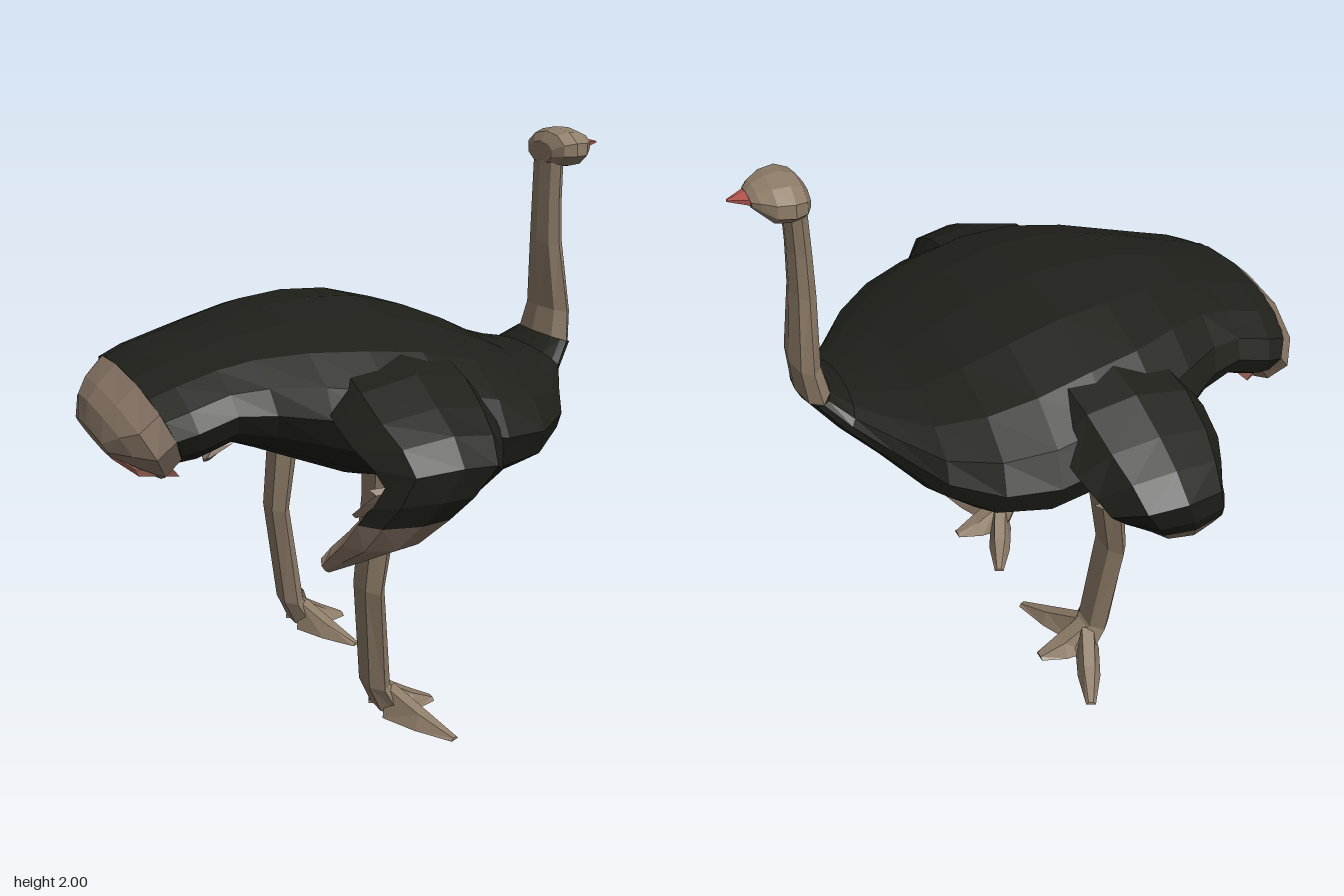
import * as THREE from 'three';

const BLACK = 0x20201b, TAN = 0x8f7d69, PALE = 0x8a7767, PINK = 0xa86a5c, RED = 0xb0544c;

function material(color) {
  return new THREE.MeshStandardMaterial({ color, flatShading: true, side: THREE.DoubleSide });
}

// Skin a list of equal rings of [x, y, z] points, close both ends, face outwards
function loft(name, rings, color) {
  const tris = [];
  const n = rings[0].length;
  const middle = (r) => [0, 1, 2].map((k) => r.reduce((s, p) => s + p[k], 0) / n);
  const first = middle(rings[0]);
  const last = middle(rings[rings.length - 1]);
  for (let j = 0; j < n; j++) {
    const k = (j + 1) % n;
    for (let i = 0; i < rings.length - 1; i++) {
      const a = rings[i], b = rings[i + 1];
      tris.push([a[j], b[j], b[k]], [a[j], b[k], a[k]]);
    }
    const end = rings[rings.length - 1];
    tris.push([first, rings[0][j], rings[0][k]], [last, end[k], end[j]]);
  }
  let volume = 0;
  for (const t of tris) {
    const [a, b, c] = t.map((p) => new THREE.Vector3(p[0] - first[0], p[1] - first[1], p[2] - first[2]));
    volume += a.dot(b.cross(c));
  }
  if (volume < 0) tris.forEach((t) => t.reverse());
  const geometry = new THREE.BufferGeometry();
  geometry.setAttribute('position', new THREE.Float32BufferAttribute(tris.flat(2), 3));
  geometry.computeVertexNormals();
  const mesh = new THREE.Mesh(geometry, material(color));
  mesh.name = name;
  return mesh;
}

// Oval ring between an upper and a lower point of the side profile
function oval([xt, yt, xb, yb, w], n, z = 0) {
  const ring = [];
  for (let i = 0; i < n; i++) {
    const a = (i / n) * Math.PI * 2;
    const f = (1 - Math.cos(a)) / 2;
    ring.push([xt + (xb - xt) * f, yt + (yb - yt) * f, z + w * Math.sin(a)]);
  }
  return ring;
}

const ovals = (profile, n, z) => profile.map((p) => oval(p, n, z));

// Wing: sections run outwards from the back and then hang down
// outer z, y; inner z, y; rear x, front x
const WING = [
  [0.45, 1.36, 0.45, 1.10, -0.34, 0.20],
  [0.66, 1.31, 0.62, 1.04, -0.36, 0.19],
  [0.81, 1.24, 0.70, 1.01, -0.35, 0.17],
  [0.92, 1.18, 0.74, 0.98, -0.32, 0.14],
  [1.00, 1.10, 0.75, 0.96, -0.30, 0.11],
  [0.97, 0.99, 0.73, 0.93, -0.33, 0.04],
  [0.91, 0.90, 0.70, 0.89, -0.36, -0.02],
];
const WING_TIP = [
  [0.91, 0.90, 0.70, 0.89, -0.36, -0.02],
  [0.83, 0.80, 0.62, 0.80, -0.375, -0.10],
  [0.72, 0.73, 0.58, 0.74, -0.385, -0.24],
  [0.62, 0.67, 0.57, 0.70, -0.39, -0.36],
];

function wingRing([zo, yo, zi, yi, back, front], side) {
  const mz = (zo + zi) / 2, my = (yo + yi) / 2, d = front - back;
  const at = (t, z, y) => [back + d * t, y, z * side];
  // the outer face narrows towards its leading and trailing edges
  return [
    at(0, mz, my),
    at(0.15, zo * 0.7 + mz * 0.3, yo * 0.7 + my * 0.3),
    at(0.5, zo, yo),
    at(0.82, zo * 0.8 + mz * 0.2, yo * 0.8 + my * 0.2),
    at(1, mz, my),
    at(0.75, zi, yi),
    at(0.25, zi, yi),
  ];
}

function createWing(side, name) {
  const wing = new THREE.Group();
  wing.name = name;
  wing.add(loft('wingFeathers', WING.map((s) => wingRing(s, side)), BLACK));
  wing.add(loft('wingTip', WING_TIP.map((s) => wingRing(s, side)), PALE));
  // pale lining under the wing
  const lining = WING.slice(3).map(([, , zi, yi, b, f]) =>
    [[b + 0.03, yi, zi], [f - 0.04, yi, zi], [f - 0.06, yi - 0.02, zi - 0.015], [b + 0.05, yi - 0.02, zi - 0.015]]
      .map(([x, y, z]) => [x, y, z * side]));
  wing.add(loft('wingLining', lining, PALE));
  return wing;
}

// Leg: rings of centre x, y, z, half depth, half width
function createLeg(side, name) {
  const leg = new THREE.Group();
  leg.name = name;
  const shank = [
    [-0.10, 0.98, 0.44, 0.05, 0.115],
    [-0.105, 0.83, 0.44, 0.046, 0.105],
    [-0.145, 0.51, 0.435, 0.036, 0.098],
    [-0.105, 0.12, 0.40, 0.04, 0.088],
    [-0.05, 0.02, 0.40, 0.05, 0.09],
  ].map(([x, y, z, d, w]) => {
    const ring = [];
    for (let i = 0; i < 6; i++) {
      const a = (i / 6) * Math.PI * 2;
      ring.push([x + d * Math.sin(a) / 0.866, y, side * (z + w * Math.cos(a))]);
    }
    return ring;
  });
  leg.add(loft('shank', shank, TAN));
  // three toes fan out from the ankle
  for (const [tx, tz, x0, z0, w] of [[0.125, 0.40, -0.06, 0.40, 0.06], [0.06, 0.70, -0.06, 0.44, 0.045], [0.06, 0.11, -0.06, 0.36, 0.045]]) {
    const dir = new THREE.Vector2(tx - x0, tz - z0).normalize();
    const section = (t, half, h) => {
      const x = x0 + (tx - x0) * t, z = z0 + (tz - z0) * t;
      const px = -dir.y * half, pz = dir.x * half;
      return [[x + px, 0, z + pz], [x + px * 0.5, h, z + pz * 0.5], [x - px * 0.5, h, z - pz * 0.5], [x - px, 0, z - pz]]
        .map(([a, b, c]) => [a, b, c * side]);
    };
    leg.add(loft('toe', [section(0, w, 0.11), section(0.5, w * 0.95, 0.055), section(1, w * 0.4, 0.01)], TAN));
  }
  return leg;
}

export function createModel() {
  const bird = new THREE.Group();
  bird.name = 'bird';

  // Each profile row: upper x, y, lower x, y, half width
  const body = [
    [-0.88, 1.275, -0.75, 0.96, 0.44],
    [-0.79, 1.315, -0.70, 0.965, 0.46],
    [-0.65, 1.355, -0.58, 1.01, 0.465],
    [-0.53, 1.395, -0.46, 0.965, 0.50],
    [-0.36, 1.43, -0.33, 0.915, 0.60],
    [-0.18, 1.445, -0.16, 0.85, 0.70],
    [0.0, 1.435, 0.04, 0.805, 0.74],
    [0.19, 1.385, 0.24, 0.78, 0.74],
    [0.35, 1.32, 0.42, 0.82, 0.685],
    [0.50, 1.245, 0.56, 0.915, 0.56],
    [0.61, 1.212, 0.67, 1.02, 0.37],
    [0.69, 1.20, 0.77, 1.10, 0.22],
    [0.75, 1.235, 0.855, 1.205, 0.16],
  ];
  bird.add(loft('body', ovals(body, 16), BLACK));

  // Drooping pale tail feathers
  const tail = [
    [-0.88, 1.275, -0.75, 0.96, 0.44],
    [-0.95, 1.21, -0.79, 0.90, 0.41],
    [-0.985, 1.16, -0.86, 0.935, 0.32],
    [-1.0, 1.08, -0.95, 0.99, 0.20],
  ];
  bird.add(loft('tail', ovals(tail, 12), PALE));
  bird.add(loft('tailUnderside', ovals([
    [-0.80, 1.0, -0.76, 0.945, 0.36],
    [-0.90, 0.99, -0.88, 0.94, 0.28],
    [-0.96, 1.02, -0.95, 0.99, 0.18],
  ], 6), PINK));

  const neck = [
    [0.75, 1.235, 0.855, 1.205, 0.16],
    [0.77, 1.33, 0.865, 1.32, 0.135],
    [0.755, 1.58, 0.838, 1.58, 0.092],
    [0.755, 1.73, 0.832, 1.73, 0.085],
    [0.758, 1.88, 0.832, 1.87, 0.085],
  ];
  bird.add(loft('neck', ovals(neck, 8), TAN));

  const head = [
    [0.757, 1.95, 0.762, 1.87, 0.08],
    [0.78, 1.985, 0.785, 1.855, 0.13],
    [0.82, 2.0, 0.83, 1.85, 0.152],
    [0.875, 1.995, 0.88, 1.855, 0.135],
    [0.92, 1.975, 0.915, 1.89, 0.09],
    [0.94, 1.955, 0.935, 1.91, 0.06],
  ];
  bird.add(loft('head', ovals(head, 10), TAN));

  const beak = [
    [0.91, 1.962, 0.91, 1.91, 0.07],
    [0.95, 1.952, 0.945, 1.918, 0.045],
    [1.0, 1.94, 1.0, 1.932, 0.006],
  ];
  bird.add(loft('beak', ovals(beak, 6), RED));

  for (const [side, label] of [[1, 'left'], [-1, 'right']]) {
    bird.add(createWing(side, label + 'Wing'), createLeg(side, label + 'Leg'));
  }
  return bird;
}
